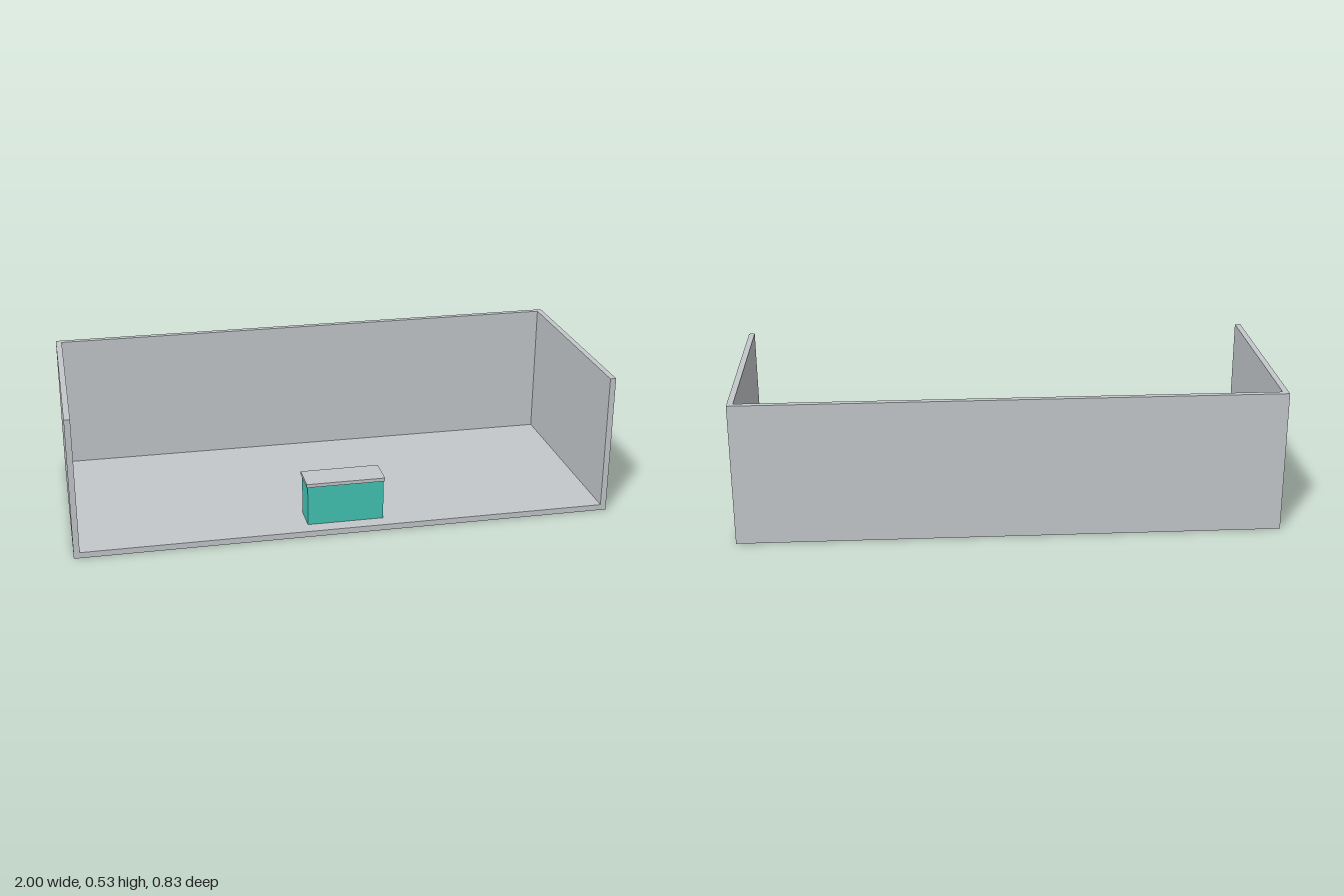
import * as THREE from 'three';

export function createModel() {
  const model = new THREE.Group();
  model.name = 'openRoomWithCounter';

  const grey = new THREE.MeshStandardMaterial({ color: 0xc3c7ca });
  grey.name = 'light grey';
  const teal = new THREE.MeshStandardMaterial({ color: 0x43c3b4 });
  teal.name = 'teal';

  const width = 2, height = 0.533, depth = 0.83, wall = 0.022;

  // Box given by its size and the centre of its underside
  function box(name, material, [w, h, d], [x, y, z], parent = model) {
    const mesh = new THREE.Mesh(new THREE.BoxGeometry(w, h, d), material);
    mesh.name = name;
    mesh.position.set(x, y + h / 2, z);
    parent.add(mesh);
  }

  // Room shell, open at the front and top
  const inner = width - 2 * wall;
  box('floor', grey, [inner, wall, depth - wall], [0, 0, wall / 2]);
  box('backWall', grey, [inner, height, wall], [0, 0, -(depth - wall) / 2]);
  for (const side of [-1, 1]) {
    box(side > 0 ? 'leftWall' : 'rightWall', grey, [wall, height, depth],
      [side * (width - wall) / 2, 0, 0]);
  }

  // Counter near the open front
  const counter = new THREE.Group();
  counter.name = 'counter';
  counter.position.set(0, wall, 0.304);
  box('counterBody', teal, [0.285, 0.152, 0.11], [0, 0, 0], counter);
  box('counterTop', grey, [0.294, 0.013, 0.12], [0, 0.152, 0], counter);
  model.add(counter);

  return model;
}
